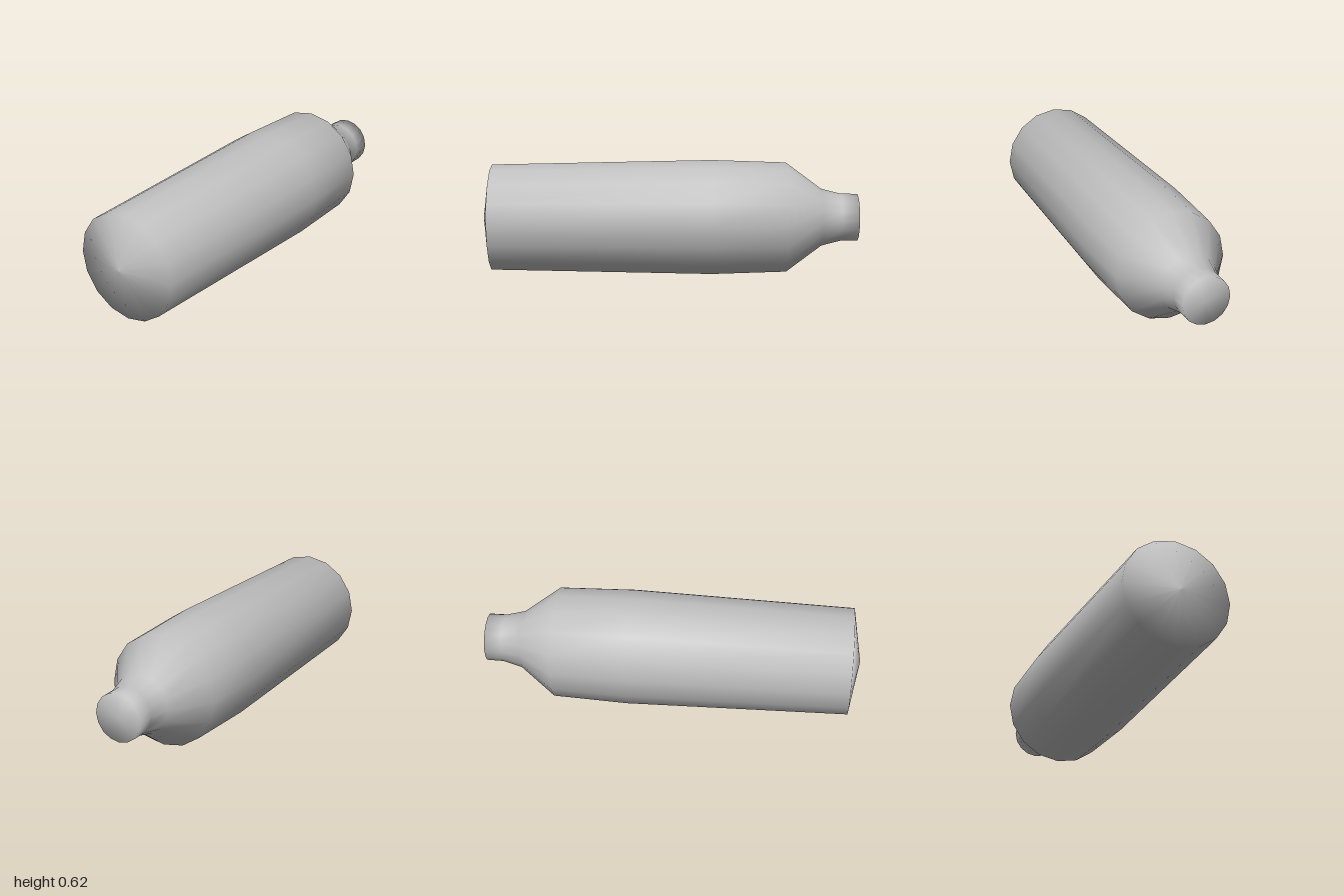
import * as THREE from 'three';

export function createModel() {
  const group = new THREE.Group();
  const grey = new THREE.MeshStandardMaterial({ color: 0xbfbfbf });
  grey.name = 'grey';

  // Radius and position along the axis, from pointed base to closed neck
  const profile = [
    [0, -1], [0.285, -0.95], [0.309, 0.22], [0.296, 0.615],
    [0.155, 0.805], [0.128, 0.91], [0.127, 1], [0, 1],
  ].map(([r, a]) => new THREE.Vector2(r, a));

  // Smooth sixteen-sided bottle lying on its side, neck towards +x
  const geometry = new THREE.LatheGeometry(profile, 16);
  geometry.rotateZ(-Math.PI / 2);
  const bottle = new THREE.Mesh(geometry, grey);
  bottle.name = 'bottle';
  bottle.position.y = 0.309;
  group.add(bottle);

  return group;
}
